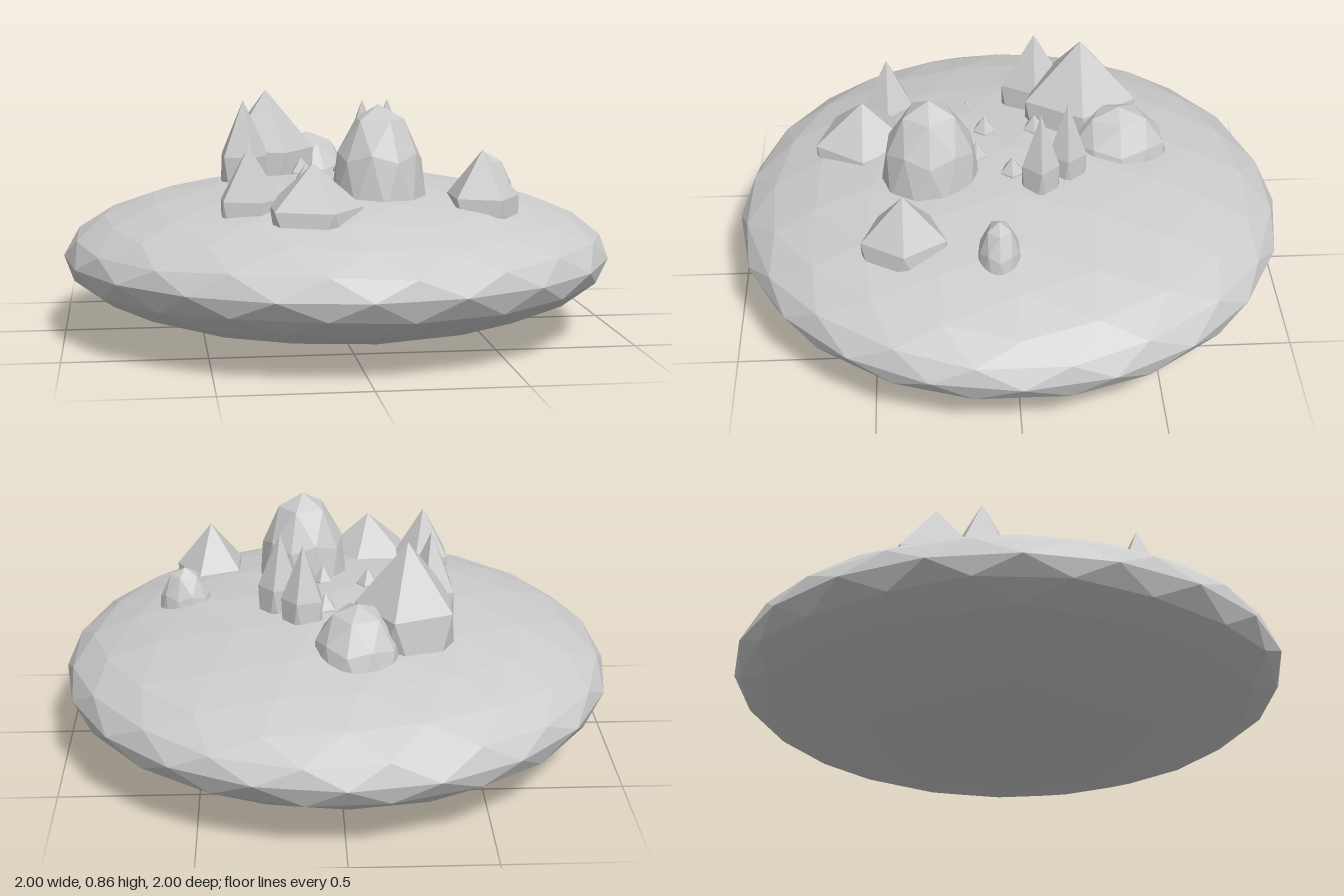
import * as THREE from 'three';

// Unit icosphere with a vertex at each pole, split recursively
function icosphere(splits) {
  const v = [0, 1, 0];
  const f = [];
  const s = 1 / Math.sqrt(5);
  for (let ring = 0; ring < 2; ring++) {
    for (let i = 0; i < 5; i++) {
      const a = (i * 2 + ring) * Math.PI / 5;
      v.push(2 * s * Math.cos(a), ring ? -s : s, -2 * s * Math.sin(a));
    }
  }
  v.push(0, -1, 0);
  for (let i = 0; i < 5; i++) {
    const j = (i + 1) % 5;
    const u0 = 1 + i, u1 = 1 + j, l0 = 6 + i, l1 = 6 + j;
    f.push(0, u0, u1, u0, l0, u1, l0, l1, u1, 11, l1, l0);
  }
  let geo = new THREE.PolyhedronGeometry(v, f, 1, 0);
  for (let k = 0; k < splits; k++) {
    const p = Array.from(geo.attributes.position.array);
    geo = new THREE.PolyhedronGeometry(p, p.slice(0, p.length / 3).map((_, i) => i), 1, 1);
  }
  geo.computeVertexNormals();
  return geo;
}

export function createModel() {
  const group = new THREE.Group();
  const stone = new THREE.MeshStandardMaterial({ color: 0xcccccc, flatShading: true });
  stone.name = 'paleGreyStone';

  // Stretched icosphere placed by its apex height
  function add(name, geo, x, z, apex, rx, ry, rz) {
    const mesh = new THREE.Mesh(geo, stone);
    mesh.name = name;
    mesh.scale.set(rx, ry, rz);
    mesh.position.set(x, apex - ry, z);
    group.add(mesh);
  }

  // Flattened island
  add('island', icosphere(2), 0, 0, 0.56, 1, 0.28, 1);

  // Rounded boulders: x, z, apex, rx, ry, rz
  const round = icosphere(1);
  [
    [0.115, 0.288, 0.845, 0.172, 0.35, 0.18],
    [0.555, 0.06, 0.64, 0.103, 0.2, 0.08],
    [-0.06, -0.405, 0.68, 0.165, 0.24, 0.195],
  ].forEach((b, i) => add('boulder' + (i + 1), round, ...b));

  // Pointed rocks, wide ones first, then the two slim spikes
  const sharp = icosphere(0);
  [
    [-0.145, 0.535, 0.67, 0.192, 0.27, 0.205],
    [-0.355, 0.445, 0.72, 0.125, 0.33, 0.11],
    [0.468, 0.385, 0.69, 0.147, 0.29, 0.173],
    [-0.238, -0.275, 0.855, 0.205, 0.4, 0.24],
    [-0.335, -0.11, 0.83, 0.105, 0.37, 0.143],
    [0.125, -0.202, 0.82, 0.088, 0.36, 0.08],
    [0.205, -0.102, 0.83, 0.09, 0.36, 0.078],
  ].forEach((r, i) => add('pointedRock' + (i + 1), sharp, ...r));

  // Pebbles: x, z, apex, radius
  [
    [-0.12, -0.1, 0.615, 0.046],
    [-0.12, 0.085, 0.615, 0.047],
    [0.15, -0.005, 0.615, 0.047],
    [0.045, -0.148, 0.615, 0.047],
    [0.045, 0.12, 0.615, 0.042],
    [-0.32, 0.145, 0.56, 0.04],
  ].forEach(([x, z, y, r], i) => add('pebble' + (i + 1), sharp, x, z, y, r, 0.1, r));

  return group;
}
